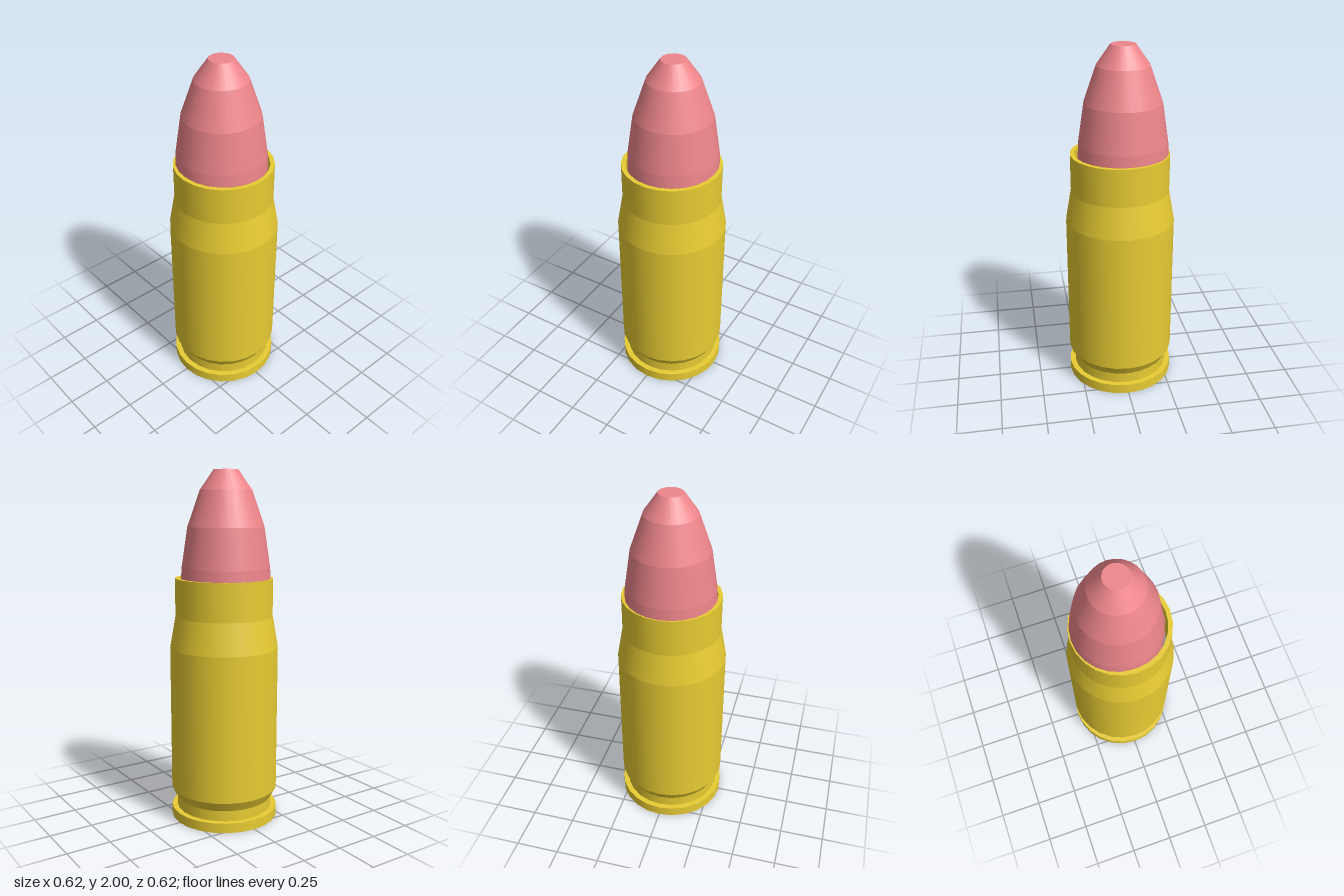
import * as THREE from 'three';
import { mergeGeometries } from 'three/addons/utils/BufferGeometryUtils.js';

const SIDES = 24;

// Revolves a profile one band at a time: smooth around, crisp between bands
function turned(name, profile, color) {
  const pts = profile.map(([r, y]) => new THREE.Vector2(r, y));
  const bands = [];
  for (let i = 0; i < pts.length - 1; i++) {
    bands.push(new THREE.LatheGeometry([pts[i], pts[i + 1]], SIDES));
  }
  const mesh = new THREE.Mesh(mergeGeometries(bands), new THREE.MeshStandardMaterial({ color }));
  mesh.name = name;
  return mesh;
}

export function createModel() {
  const group = new THREE.Group();
  group.name = 'cartridge';
  const brass = 0xe8cc33, copper = 0xee868b, steel = 0x888888;

  // Brass case: base ring, rim, extractor groove, body, shoulder, neck, mouth and bore
  group.add(turned('casing', [
    [0.14, 0], [0.31, 0], [0.31, 0.057], [0.278, 0.057], [0.278, 0.118],
    [0.31, 0.175], [0.31, 1.01], [0.278, 1.19], [0.278, 1.405],
    [0.253, 1.405], [0.253, 1.2],
  ], brass));

  // Primer flush with the base
  group.add(turned('primer', [[0, 0], [0.14, 0]], steel));

  // Grey filling inside the neck
  group.add(turned('filling', [[0.253, 1.2], [0, 1.2]], steel));

  // Blunt-nosed bullet, seated slightly towards the back
  const bullet = turned('bullet', [
    [0, 1.22], [0.253, 1.22], [0.253, 1.4], [0.249, 1.465], [0.215, 1.69],
    [0.145, 1.89], [0.068, 2], [0, 2],
  ], copper);
  bullet.position.z = -0.018;
  group.add(bullet);

  return group;
}
